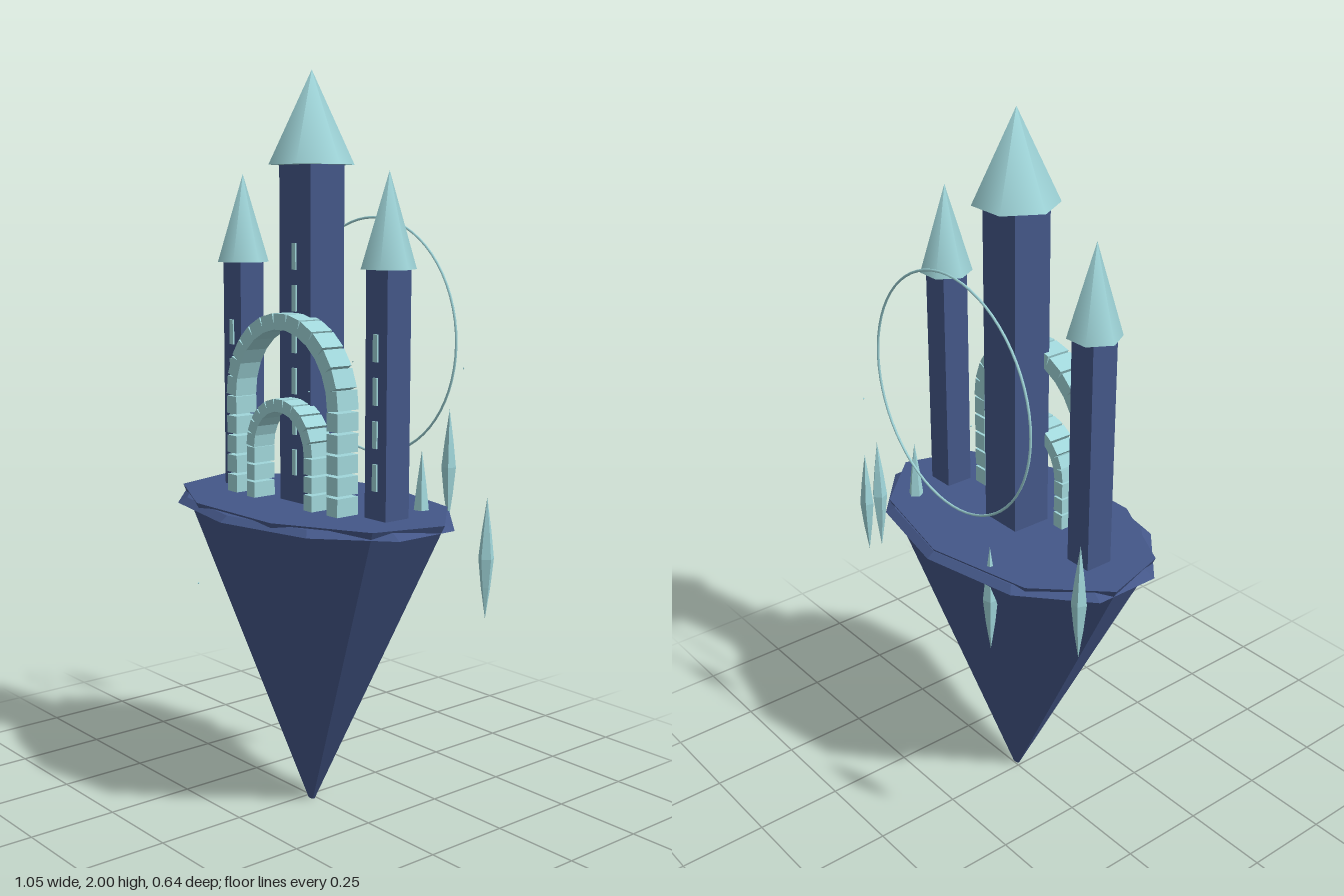
import * as THREE from 'three';

export function createModel() {
  const navy = new THREE.MeshStandardMaterial({ color: 0x445788 });
  navy.name = 'navy stone';
  const teal = new THREE.MeshStandardMaterial({ color: 0xa0d6da });
  teal.name = 'pale teal';

  const root = new THREE.Group();
  root.name = 'floatingCastle';
  // Everything is laid out around the castle axis
  const castle = new THREE.Group();
  castle.name = 'castle';
  castle.position.set(0.02, 0, 0.01);
  root.add(castle);

  const add = (name, geometry, material, x, y, z, parent = castle) => {
    const mesh = new THREE.Mesh(geometry, material);
    mesh.name = name;
    mesh.position.set(x, y, z);
    parent.add(mesh);
    return mesh;
  };
  const flat = (geometry) => {
    const g = geometry.toNonIndexed();
    g.computeVertexNormals();
    return g;
  };

  // Inverted nine-sided rock, flattened front to back
  const ground = 0.86;
  const rock = new THREE.CylinderGeometry(1, 0.025, ground, 9, 1, false, Math.PI);
  rock.scale(0.472, 1, 0.286);
  add('rock', flat(rock), navy, 0, ground / 2, 0);

  // Thin ten-sided ledge around the rim
  const ledge = new THREE.CylinderGeometry(0.93, 1, 0.016, 10);
  ledge.scale(0.478, 1, 0.3075);
  add('ledge', flat(ledge), navy, 0, 0.847, 0);

  // Square towers with six-sided roofs and slit windows
  const tower = (name, x, width, depth, top, roofRadius, roofTop, windows) => {
    const group = new THREE.Group();
    group.name = name;
    group.position.x = x;
    castle.add(group);
    const base = ground - 0.01;
    add('towerBody', new THREE.BoxGeometry(width, top - base, depth), navy, 0, (top + base) / 2, 0, group);
    const roof = new THREE.ConeGeometry(roofRadius, roofTop - top, 6, 1, false, Math.PI / 6);
    add('roof', roof, teal, 0, (top + roofTop) / 2, 0, group);
    for (let i = 0; i < windows; i++) {
      add('window', new THREE.BoxGeometry(0.016, 0.07, 0.006), teal, 0, 0.97 + i * 0.11, depth / 2 + 0.002, group);
    }
  };
  tower('mainTower', 0, 0.13, 0.115, 1.757, 0.115, 2, 6);
  for (const side of [-1, 1]) {
    tower(side < 0 ? 'rightTower' : 'leftTower', side * 0.303, 0.08, 0.08, 1.495, 0.072, 1.738, 4);
  }

  // Block arches: two stacked legs and a half ring of stones
  const arch = (name, radius, thick, depth, springY, arcBlocks, legBlocks, z) => {
    const group = new THREE.Group();
    group.name = name;
    group.position.z = z;
    castle.add(group);
    const step = (springY - ground) / legBlocks;
    for (const side of [-1, 1]) {
      for (let i = 0; i < legBlocks; i++) {
        add('legStone', new THREE.BoxGeometry(thick, step * 0.88, depth), teal,
          side * radius, ground + step * (i + 0.5), 0, group);
      }
    }
    const arcStep = Math.PI / arcBlocks;
    for (let i = 0; i < arcBlocks; i++) {
      const a = arcStep * (i + 0.5);
      const stone = add('archStone', new THREE.BoxGeometry(thick, arcStep * radius * 0.98, depth), teal,
        Math.cos(a) * radius, springY + Math.sin(a) * radius, 0, group);
      stone.rotation.z = a;
    }
  };
  arch('largeArch', 0.215, 0.043, 0.07, 1.135, 13, 5, 0.075);
  arch('smallArch', 0.123, 0.034, 0.07, 1.005, 11, 3, 0.08);

  // Thin halo standing behind the towers
  add('halo', new THREE.TorusGeometry(0.325, 0.0035, 6, 64), teal, 0, 1.295, -0.22);

  // Floating crystals: slim five-sided spindles
  const profile = [[0, -0.16], [0.013, -0.075], [0.021, 0], [0.013, 0.07], [0, 0.16]]
    .map(([r, y]) => new THREE.Vector2(r, y));
  const crystal = flat(new THREE.LatheGeometry(profile, 5));
  const crystalSpots = [
    [-0.505, 0.93, -0.22], [0.235, 0.945, -0.3], [0.505, 0.76, -0.17],
    [0.305, 0.86, -0.13], [-0.14, 0.757, -0.21],
  ];
  crystalSpots.forEach(([x, y, z], i) => {
    add('crystal', crystal, teal, x, y, z, root).rotation.y = i * 0.7;
  });

  // Tiny drifting motes
  const mote = new THREE.OctahedronGeometry(0.003);
  const moteSpots = [
    [0.28, 1.22, -0.305], [-0.035, 1.22, -0.185], [-0.1, 0.65, 0.305],
    [0.155, 1.18, 0.13], [-0.235, 1.12, 0.065],
  ];
  for (const [x, y, z] of moteSpots) add('mote', mote, teal, x, y, z, root);

  return root;
}
